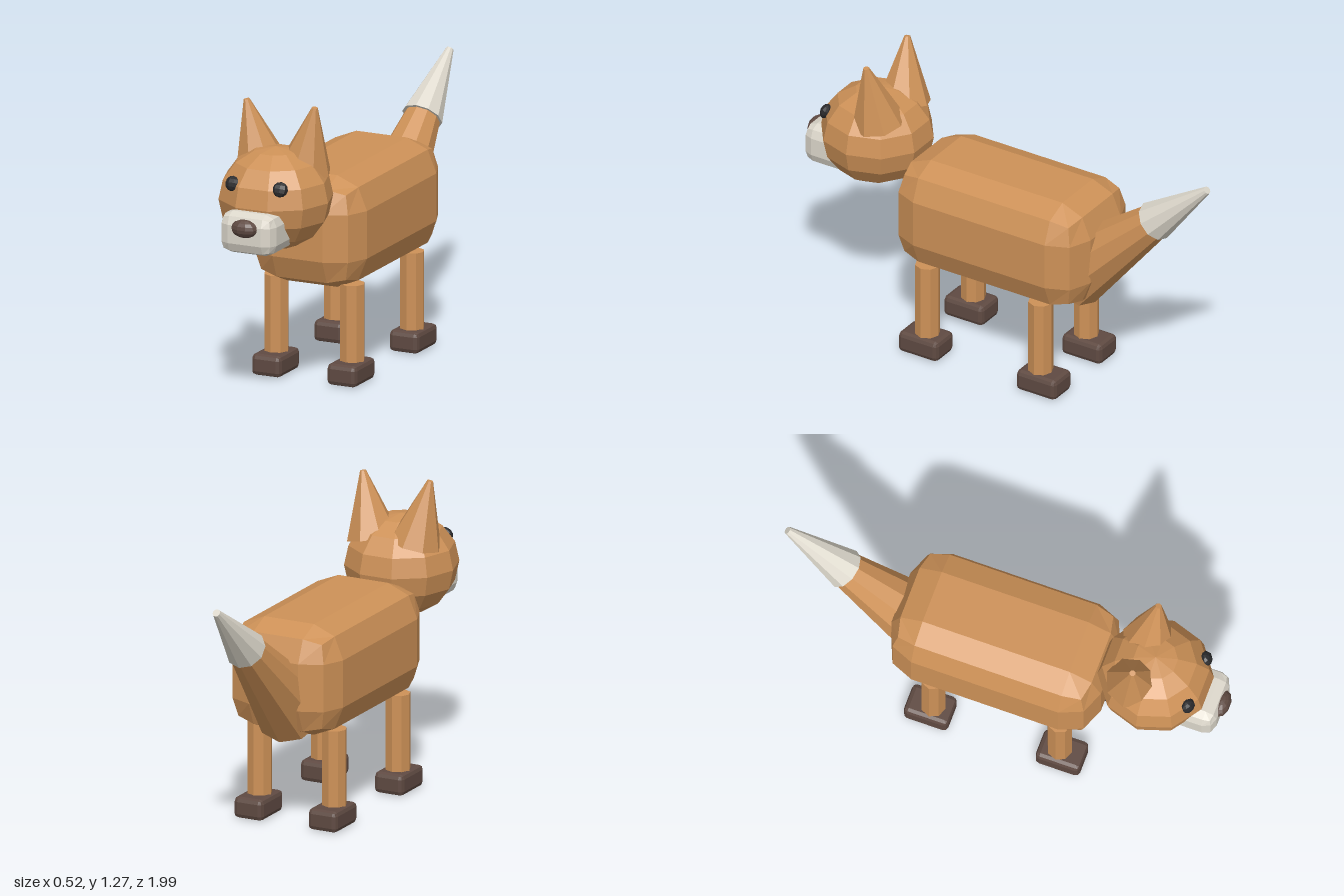
import * as THREE from 'three';
import { RoundedBoxGeometry } from 'three/addons/geometries/RoundedBoxGeometry.js';

function material(name, color) {
  const m = new THREE.MeshStandardMaterial({ color, flatShading: true });
  m.name = name;
  return m;
}

export function createModel() {
  const model = new THREE.Group();
  model.name = 'fourLeggedAnimal';
  const fur = material('tanFur', 0xcd9157);
  const cream = material('paleCream', 0xdcd7cb);
  const brown = material('darkBrown', 0x5f4a42);
  const black = material('eyeBlack', 0x2a2a2c);

  function add(name, geometry, mat, x, y, z) {
    const mesh = new THREE.Mesh(geometry, mat);
    mesh.name = name;
    mesh.position.set(x, y, z);
    model.add(mesh);
    return mesh;
  }

  // Tapered round part whose base centre sits at the given point
  function taper(rTop, rBottom, length, sides) {
    return new THREE.CylinderGeometry(rTop, rBottom, length, sides).translate(0, length / 2, 0);
  }

  // Body with wide chamfers
  add('body', new RoundedBoxGeometry(0.516, 0.488, 0.938, 1, 0.14), fur, 0, 0.653, -0.004);

  // Head, muzzle and nose
  add('head', new THREE.SphereGeometry(0.245, 10, 8), fur, 0, 0.875, 0.668).scale.y = 0.9;
  add('muzzle', new RoundedBoxGeometry(0.256, 0.18, 0.25, 1, 0.05), cream, 0, 0.777, 0.844);
  add('nose', new THREE.SphereGeometry(0.062, 10, 8), brown, 0, 0.808, 0.965).scale.set(1, 0.63, 0.59);

  for (const s of [-1, 1]) {
    const side = s > 0 ? 'left' : 'right';

    // Ears lean outward and slightly forward
    const ear = add(side + 'Ear', taper(0.013, 0.115, 0.285, 8), fur, s * 0.101, 0.993, 0.6);
    ear.rotation.set(0.08, 0, -s * 0.21);

    // Eyes follow the slope of the face
    const eye = add(side + 'Eye', new THREE.SphereGeometry(0.033, 8, 6), black, s * 0.113, 0.965, 0.855);
    eye.scale.z = 0.7;
    eye.rotation.set(-0.42, s * 0.3, 0);

    // Legs and paws
    for (const [end, legZ, pawZ] of [['Front', 0.303, 0.313], ['Back', -0.263, -0.277]]) {
      add(side + end + 'Leg', taper(0.054, 0.054, 0.41, 8), fur, s * 0.178, 0.018, legZ);
      add(side + end + 'Paw', new RoundedBoxGeometry(0.138, 0.093, 0.198, 1, 0.02), brown, s * 0.177, 0.0465, pawZ);
    }
  }

  // Tail rising backward, with a pale tip
  const tail = add('tail', taper(0.078, 0.16, 0.555, 10), fur, 0, 0.5, -0.312);
  tail.rotation.x = -0.829;
  const tip = add('tailTip', taper(0.017, 0.089, 0.349, 10), cream, 0, 0.875, -0.72);
  tip.rotation.x = -0.845;

  return model;
}
